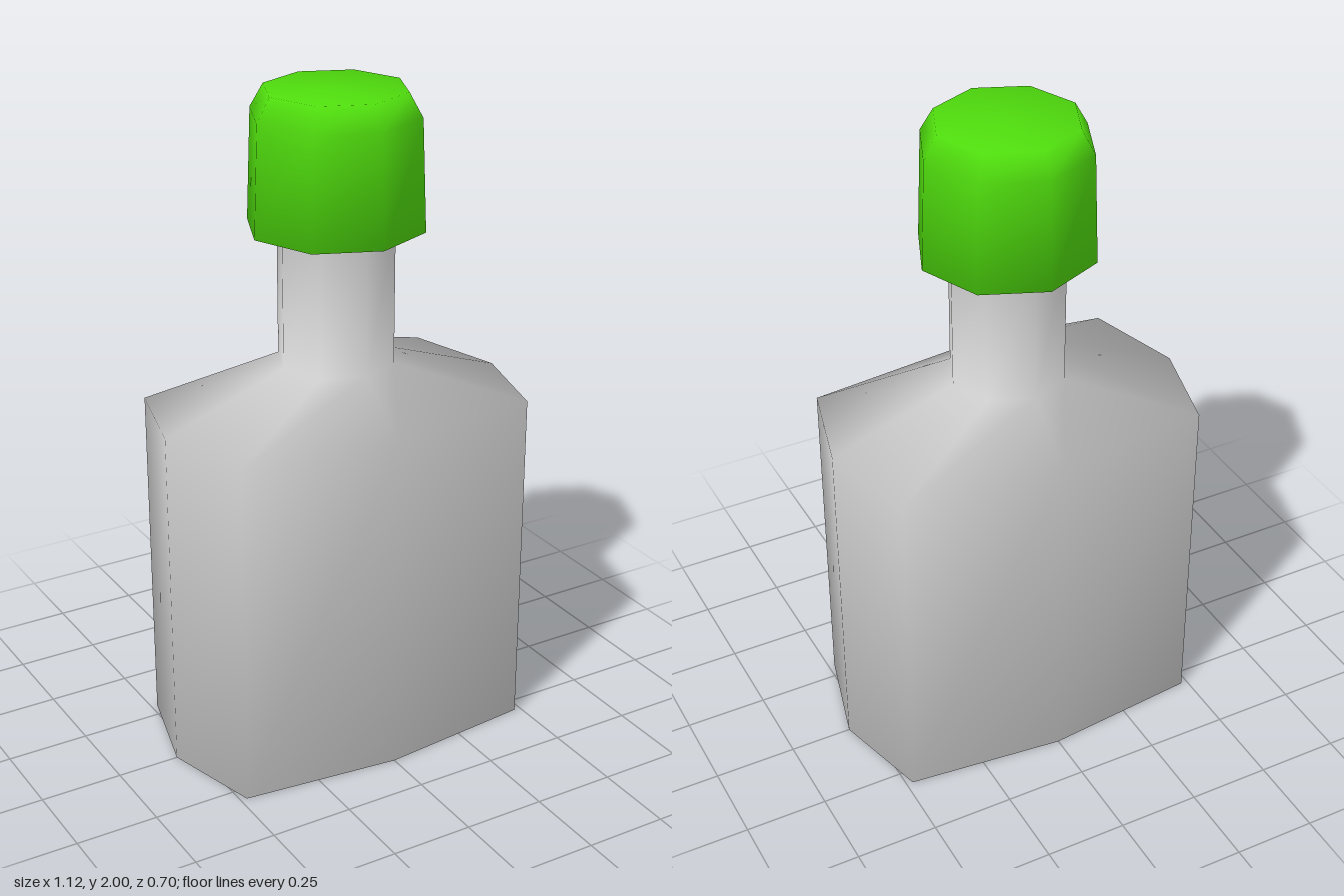
import * as THREE from 'three';

// Smooth-shaded loft through eight-sided rings; each ring is { y, pts: [[x, z], ...] }
function loft(rings, closeBottom, closeTop) {
  const n = rings[0].pts.length;
  const positions = [];
  const index = [];
  for (const { y, pts } of rings) {
    for (const [x, z] of pts) positions.push(x, y, z);
  }
  for (let r = 0; r < rings.length - 1; r++) {
    for (let i = 0; i < n; i++) {
      const a = r * n + i;
      const b = r * n + (i + 1) % n;
      index.push(a, a + n, b, b, a + n, b + n);
    }
  }
  const last = rings.length - 1;
  if (closeBottom) {
    const c = positions.length / 3;
    positions.push(0, rings[0].y, 0);
    for (let i = 0; i < n; i++) index.push(c, i, (i + 1) % n);
  }
  if (closeTop) {
    const c = positions.length / 3;
    positions.push(0, rings[last].y, 0);
    for (let i = 0; i < n; i++) index.push(c, last * n + (i + 1) % n, last * n + i);
  }
  const geometry = new THREE.BufferGeometry();
  geometry.setAttribute('position', new THREE.Float32BufferAttribute(positions, 3));
  geometry.setIndex(index);
  geometry.computeVertexNormals();
  return geometry;
}

// Regular octagon with corners on the axes
function octagon(y, radius) {
  const pts = [];
  for (let i = 0; i < 8; i++) {
    const a = (i / 8) * Math.PI * 2;
    pts.push([radius * Math.cos(a), radius * Math.sin(a)]);
  }
  return { y, pts };
}

// Wide, flattened octagon of the bottle body
function bodyRing(y) {
  return {
    y,
    pts: [
      [0.56, 0], [0.48, 0.3], [0, 0.35], [-0.48, 0.3],
      [-0.56, 0], [-0.48, -0.3], [0, -0.35], [0.48, -0.3],
    ],
  };
}

export function createModel() {
  const group = new THREE.Group();
  group.name = 'bottle';

  // Body, sloping shoulders and neck in one skin
  const glass = new THREE.Mesh(
    loft([bodyRing(0), bodyRing(1.06), octagon(1.195, 0.175), octagon(1.62, 0.175)], true, false),
    new THREE.MeshStandardMaterial({ color: 0xcccccc })
  );
  glass.name = 'bottleBody';
  group.add(glass);

  // Cap with a chamfered top edge
  const cap = new THREE.Mesh(
    loft([octagon(1.6, 0.263), octagon(1.93, 0.25), octagon(2, 0.21)], true, true),
    new THREE.MeshStandardMaterial({ color: 0x4fdb0d })
  );
  cap.name = 'cap';
  group.add(cap);

  return group;
}
